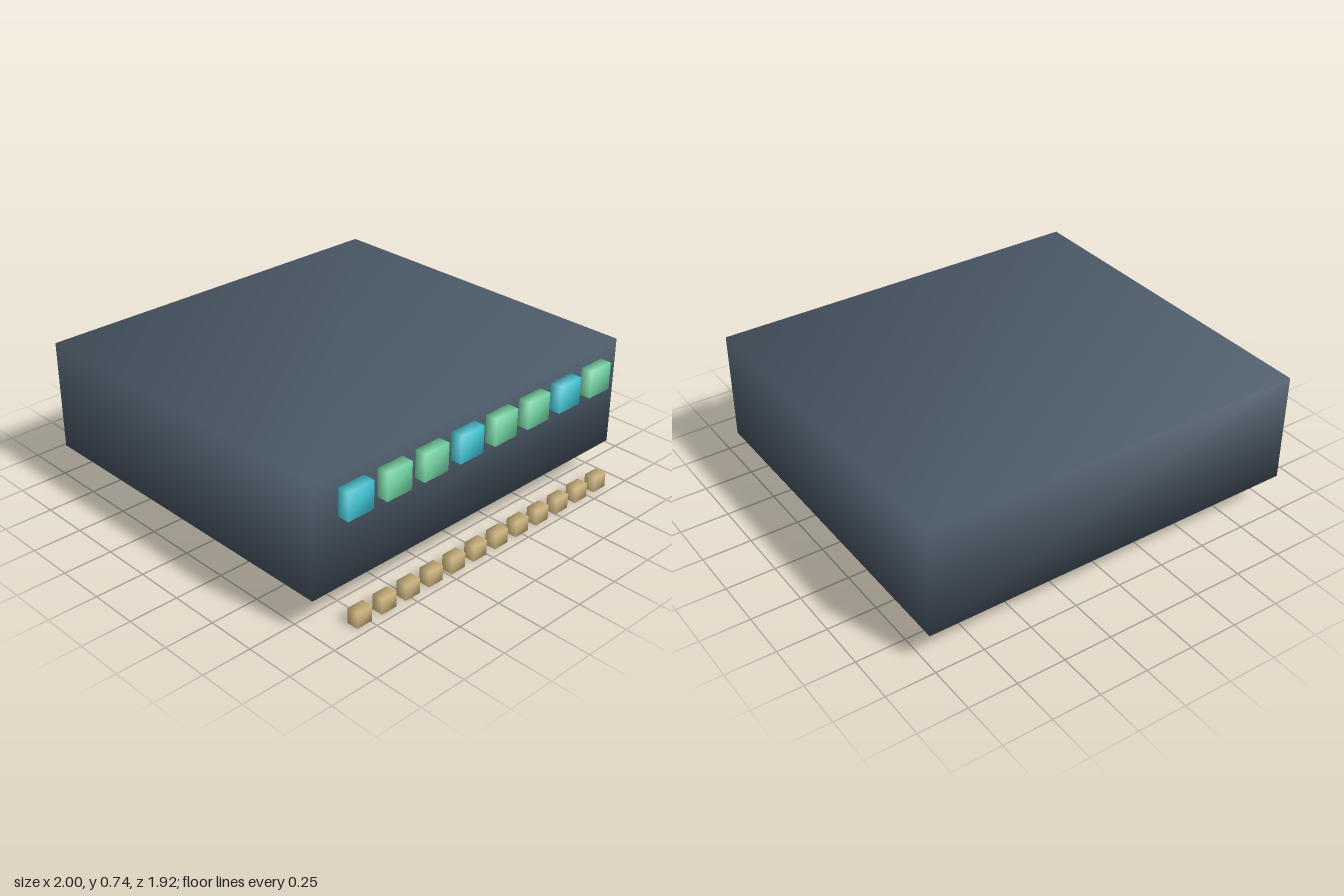
import * as THREE from 'three';
import { mergeVertices } from 'three/addons/utils/BufferGeometryUtils.js';

// Box with shared corners, so its shading is smooth across the edges
function softBox(w, h, d) {
  const box = new THREE.BoxGeometry(w, h, d);
  box.deleteAttribute('normal');
  box.deleteAttribute('uv');
  box.clearGroups();
  const merged = mergeVertices(box);
  merged.computeVertexNormals();
  return merged;
}

function material(name, color) {
  const m = new THREE.MeshStandardMaterial({ color });
  m.name = name;
  return m;
}

export function createModel() {
  const model = new THREE.Group();
  model.name = 'controlBox';

  const slate = material('slate', 0x4a5866);
  const cyan = material('cyan', 0x42c5d5);
  const green = material('green', 0x72d5a3);
  const tan = material('tan', 0xccb27c);

  const add = (name, geometry, mat, x, y, z, parent = model) => {
    const mesh = new THREE.Mesh(geometry, mat);
    mesh.name = name;
    mesh.position.set(x, y, z);
    parent.add(mesh);
  };

  // Main housing
  add('housing', softBox(2, 0.564, 1.825), slate, 0, 0.46, -0.047);

  // Row of eight panels in front of the housing, every third one cyan
  const panels = new THREE.Group();
  panels.name = 'frontPanels';
  model.add(panels);
  const panelShape = softBox(0.148, 0.14, 0.06);
  for (let i = 0; i < 8; i++) {
    add(`panel${i + 1}`, panelShape, i % 3 === 0 ? cyan : green, -0.791 + i * 0.226, 0.615, 0.91, panels);
  }

  // Row of twelve small blocks below the front edge
  const blocks = new THREE.Group();
  blocks.name = 'lowerBlocks';
  model.add(blocks);
  const blockShape = softBox(0.088, 0.078, 0.06);
  for (let i = 0; i < 12; i++) {
    add(`block${i + 1}`, blockShape, tan, -0.785 + i * 0.1477, 0.039, 0.93, blocks);
  }

  return model;
}
